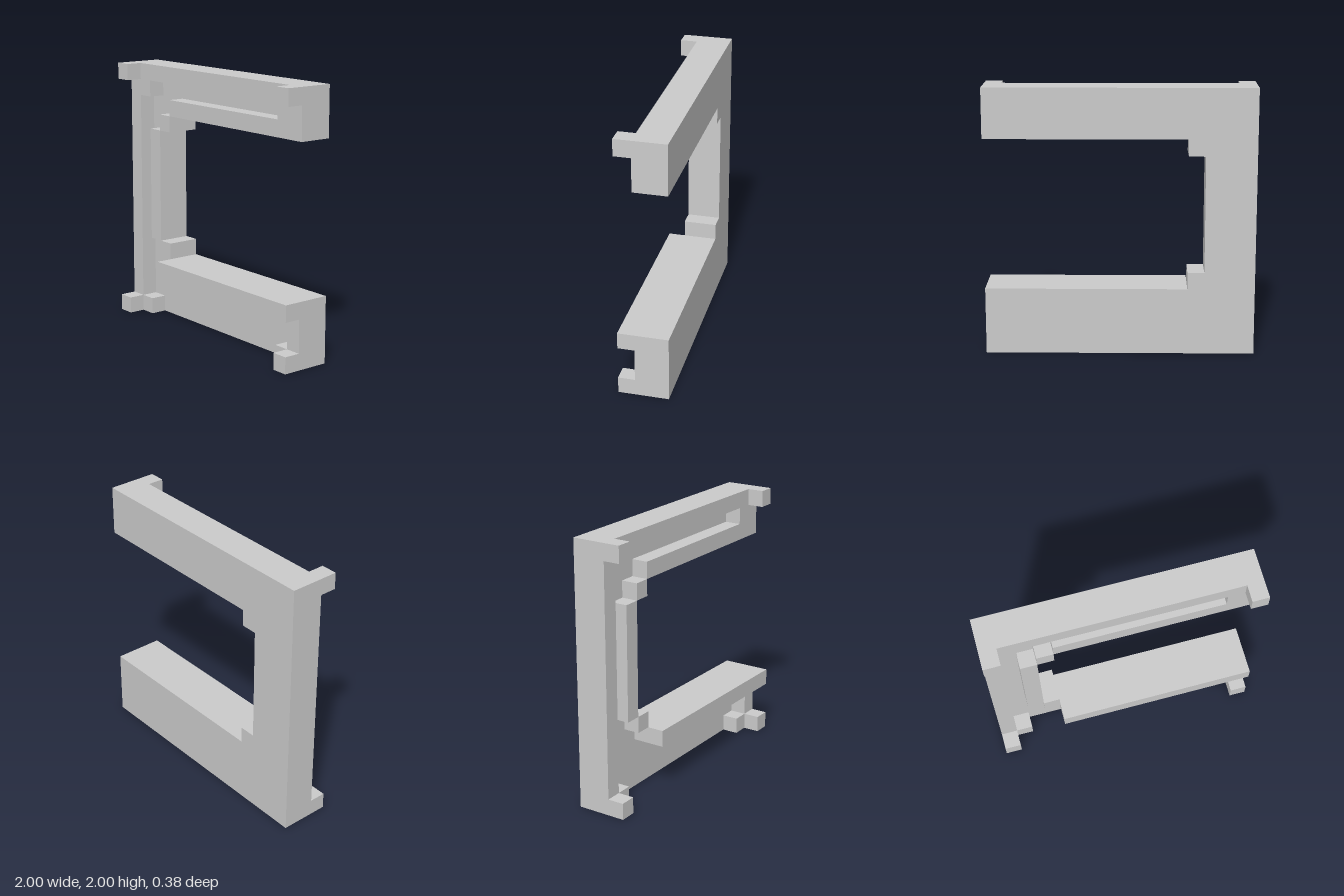
import * as THREE from 'three';

const U = 0.125; // everything sits on a grid of eighths

export function createModel() {
  const group = new THREE.Group();
  const material = new THREE.MeshStandardMaterial({ color: 0xcccccc, flatShading: true });

  // One-step-thick slab: outline in grid steps (x, y), layer 0 = back, 1 = middle, 2 = front
  function slab(name, layer, outline) {
    const shape = new THREE.Shape(outline.map(([x, y]) => new THREE.Vector2(x * U, y * U)));
    const geometry = new THREE.ExtrudeGeometry(shape, { depth: U, bevelEnabled: false });
    geometry.translate(0, 0, (layer - 1.5) * U);
    const mesh = new THREE.Mesh(geometry, material);
    mesh.name = name;
    group.add(mesh);
  }

  const rect = (x0, y0, x1, y1) => [[x0, y0], [x1, y0], [x1, y1], [x0, y1]];

  // C-shaped back plate with stepped inner corners
  slab('backPlate', 0, [
    [-8, 0], [8, 0], [8, 4], [-4, 4], [-4, 5], [-5, 5], [-5, 12],
    [-4, 12], [-4, 13], [8, 13], [8, 16], [-8, 16],
  ]);

  // Raised rim: left edge, top edge, upper right end and underside of the upper arm
  slab('upperRim', 1, [
    [-8, 0], [-6, 0], [-6, 1], [-7, 1], [-7, 14], [-6, 14], [-6, 15],
    [6, 15], [6, 14], [-4, 14], [-4, 13], [8, 13], [8, 16], [-8, 16],
  ]);

  // Raised rim of the lower arm: top beam, right end and foot
  slab('lowerRim', 1, [
    [-4, 3], [7, 3], [7, 1], [6, 1], [6, 0], [8, 0], [8, 4], [-4, 4],
  ]);

  // Inner edge of the opening
  slab('innerRidge', 1, rect(-6, 5, -5, 12));
  slab('lowerStep', 1, rect(-5, 4, -4, 5));
  slab('upperStep', 1, rect(-5, 12, -4, 13));

  // Frontmost ledge and corner blocks
  slab('lowerLedge', 2, rect(-4, 3, 8, 4));
  for (const [x, side] of [[-8, 'Right'], [7, 'Left']]) {
    slab('bottomCorner' + side, 2, rect(x, 0, x + 1, 1));
    slab('topCorner' + side, 2, rect(x, 15, x + 1, 16));
  }

  return group;
}
